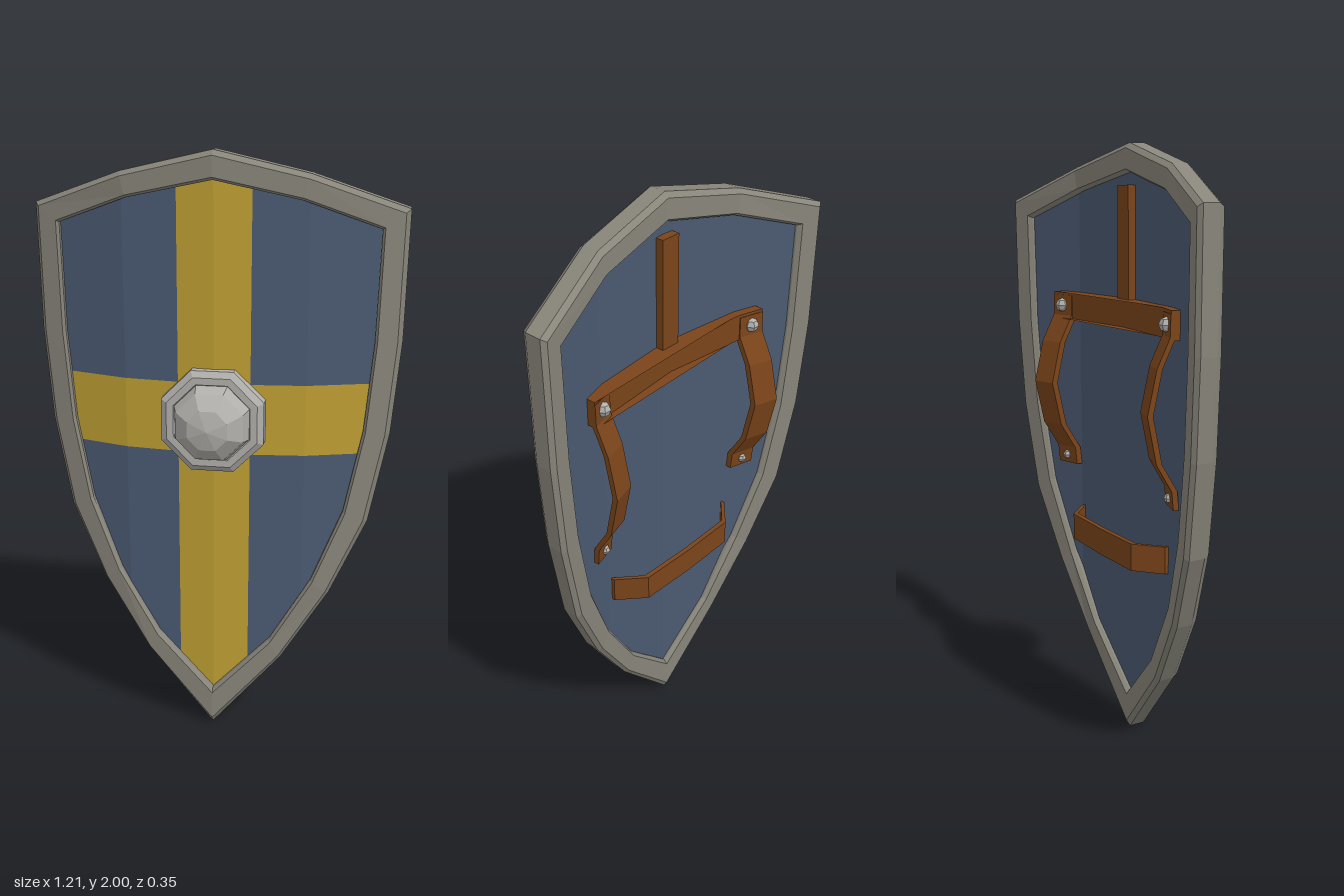
import * as THREE from 'three';

const mat = (name, color) => {
  const m = new THREE.MeshStandardMaterial({ color, flatShading: true });
  m.name = name;
  return m;
};

// Right half of the rim, outer and inner edge, from top to tip
const OUTER = [[0, 2], [0.3, 1.93], [0.605, 1.82], [0.6, 1.4], [0.575, 1.09], [0.515, 0.78], [0.395, 0.52], [0.235, 0.27], [0, 0]];
const INNER = [[0, 1.91], [0.28, 1.85], [0.52, 1.76], [0.512, 1.4], [0.487, 1.1], [0.432, 0.82], [0.332, 0.57], [0.195, 0.34], [0, 0.14]];

// Sideways curve of the whole shield: z offset at a given x
const bend = (x) => {
  const a = Math.abs(x);
  return a < 0.3 ? -0.1 * a : -0.03 - 0.3 * (a - 0.3);
};

const between = (t) => OUTER.map(([x, y], i) => [
  THREE.MathUtils.lerp(x, INNER[i][0], t), THREE.MathUtils.lerp(y, INNER[i][1], t)]);

const mirrorLoop = (half) => [...half, ...half.slice(1, -1).reverse().map(([x, y]) => [-x, y])];

// Piecewise linear height along points sorted by x
const heightAt = (pts, x) => {
  for (let i = 1; i < pts.length; i++) {
    const [x0, y0] = pts[i - 1], [x1, y1] = pts[i];
    if (x <= x1 + 1e-6) return y0 + (y1 - y0) * (x - x0) / (x1 - x0);
  }
  return pts[pts.length - 1][1];
};

// Unshared quads, corners counter-clockwise
const quadGeometry = (quads) => {
  const pos = [];
  for (const [a, b, c, d] of quads) pos.push(...a, ...b, ...c, ...a, ...c, ...d);
  const g = new THREE.BufferGeometry();
  g.setAttribute('position', new THREE.Float32BufferAttribute(pos, 3));
  g.computeVertexNormals();
  return g;
};

// Bevelled rim: a closed cross-section carried around the outline
function rimGeometry() {
  const profile = [[0, -0.01], [0, 0.045], [0.18, 0.065], [0.9, 0.065], [1, 0.052], [1, -0.012], [0.9, -0.025], [0.18, -0.025]];
  const rings = profile.map(([t, z]) => mirrorLoop(between(t)).map(([x, y]) => [x, y, z + bend(x)]));
  const quads = [];
  const n = rings[0].length, m = rings.length;
  for (let j = 0; j < m; j++) {
    const r0 = rings[j], r1 = rings[(j + 1) % m];
    for (let i = 0; i < n; i++) {
      const k = (i + 1) % n;
      quads.push([r0[i], r1[i], r1[k], r0[k]]);
    }
  }
  return quadGeometry(quads);
}

// Board faces cut into columns and bands, sorted into field and cross
function boardQuads() {
  const edge = between(0.5);
  const top = edge.slice(0, 3), bottom = edge.slice(3).reverse();
  const half = [...new Set([0.12, 0.3, ...edge.map((p) => p[0])])].filter((x) => x > 0).sort((a, b) => a - b);
  const xs = [...half.map((x) => -x).reverse(), 0, ...half];
  const field = [], cross = [], back = [];
  const hi = (x) => heightAt(top, Math.abs(x));
  const lo = (x) => heightAt(bottom, Math.abs(x));
  const clampY = (x, y) => Math.min(hi(x), Math.max(lo(x), y));
  const cell = (x0, x1, y0, y1, z) => [[x0, y0], [x1, y0], [x1, y1], [x0, y1]]
    .map(([x, y]) => [x, clampY(x, y), z + bend(x)]);
  const bands = [-1, 1.02, 1.26, 3];
  for (let i = 1; i < xs.length; i++) {
    const x0 = xs[i - 1], x1 = xs[i];
    for (let b = 0; b < 3; b++) {
      const gold = b === 1 || Math.abs(x0 + x1) / 2 < 0.12;
      (gold ? cross : field).push(cell(x0, x1, bands[b], bands[b + 1], 0.035));
    }
    back.push(cell(x0, x1, -1, 3, -0.005).reverse());
  }
  return { field, cross, back };
}

// Leather strap: path of [distance along, height off the back], then bent with the board
function strapGeometry(path, width, centre, vertical, thick) {
  const shape = new THREE.Shape([
    ...path.map(([s, o]) => new THREE.Vector2(s, o)),
    ...[...path].reverse().map(([s, o]) => new THREE.Vector2(s, o + thick)),
  ]);
  const g = new THREE.ExtrudeGeometry(shape, { depth: width, bevelEnabled: false });
  g.translate(0, 0, -width / 2);
  const V = (x, y, z) => new THREE.Vector3(x, y, z);
  g.applyMatrix4(vertical
    ? new THREE.Matrix4().makeBasis(V(0, 1, 0), V(0, 0, -1), V(-1, 0, 0))
    : new THREE.Matrix4().makeBasis(V(1, 0, 0), V(0, 0, -1), V(0, 1, 0)));
  g.translate(vertical ? centre : 0, vertical ? 0 : centre, 0);
  const p = g.attributes.position;
  for (let i = 0; i < p.count; i++) p.setZ(i, p.getZ(i) + bend(p.getX(i)));
  g.computeVertexNormals();
  return g;
}

export function createModel() {
  const group = new THREE.Group();
  group.name = 'shield';
  const rimMetal = mat('rim metal', 0x88857a);
  const blue = mat('blue paint', 0x4b5a72);
  const gold = mat('gold paint', 0xbf9f34);
  const leather = mat('leather', 0x7a441a);
  const steel = mat('steel', 0xb2b0ac);

  const add = (name, geometry, material) => {
    const mesh = new THREE.Mesh(geometry, material);
    mesh.name = name;
    group.add(mesh);
    return mesh;
  };

  add('rim', rimGeometry(), rimMetal);

  const { field, cross, back } = boardQuads();
  add('boardFront', quadGeometry(field), blue);
  add('paintedCross', quadGeometry(cross), gold);
  add('boardBack', quadGeometry(back), blue);

  // Central boss: octagonal flange and faceted dome, sizes across the flats
  const lathe = (pts) => new THREE.LatheGeometry(
    pts.map(([r, y]) => new THREE.Vector2(r / Math.cos(Math.PI / 8), y)), 8, Math.PI / 8).rotateX(Math.PI / 2);
  const flange = add('bossFlange', lathe([[0.17, 0.01], [0.17, 0.06], [0.15, 0.075], [0.127, 0.075], [0.12, 0.06]]), steel);
  const dome = add('bossDome', lathe([[0.125, 0.05], [0.123, 0.075], [0.11, 0.12], [0.065, 0.163], [0, 0.178]]), steel);
  flange.position.y = dome.position.y = 1.14;

  // Straps fixed flat to the back
  add('crossStrap', strapGeometry([-0.385, -0.3, 0, 0.3, 0.385].map((x) => [x, 0]), 0.09, 1.465, false, 0.036), leather);
  add('hangingStrap', strapGeometry([[1.47, 0], [1.87, 0]], 0.07, 0, true, 0.032), leather);

  // Raised lower grip
  add('lowerGrip', strapGeometry(
    [[-0.285, 0], [-0.2, 0.085], [0, 0.11], [0.2, 0.085], [0.285, 0]], 0.09, 0.705, false, 0.017), leather);

  // Arched arm straps and their rivets
  const armPath = [[0.9, 0.004], [0.96, 0.01], [1.05, 0.065], [1.2, 0.097], [1.34, 0.065], [1.43, 0.02], [1.5, 0.018]];
  for (const side of [-1, 1]) {
    const x = side * 0.343;
    add('armStrap', strapGeometry(armPath, 0.085, x, true, 0.02), leather);
    for (const [y, r, lift] of [[1.465, 0.024, 0.04], [0.93, 0.016, 0.027]]) {
      const rivet = add('rivet', new THREE.SphereGeometry(r, 6, 4), steel);
      rivet.position.set(x, y, bend(x) - lift);
    }
  }
  return group;
}
